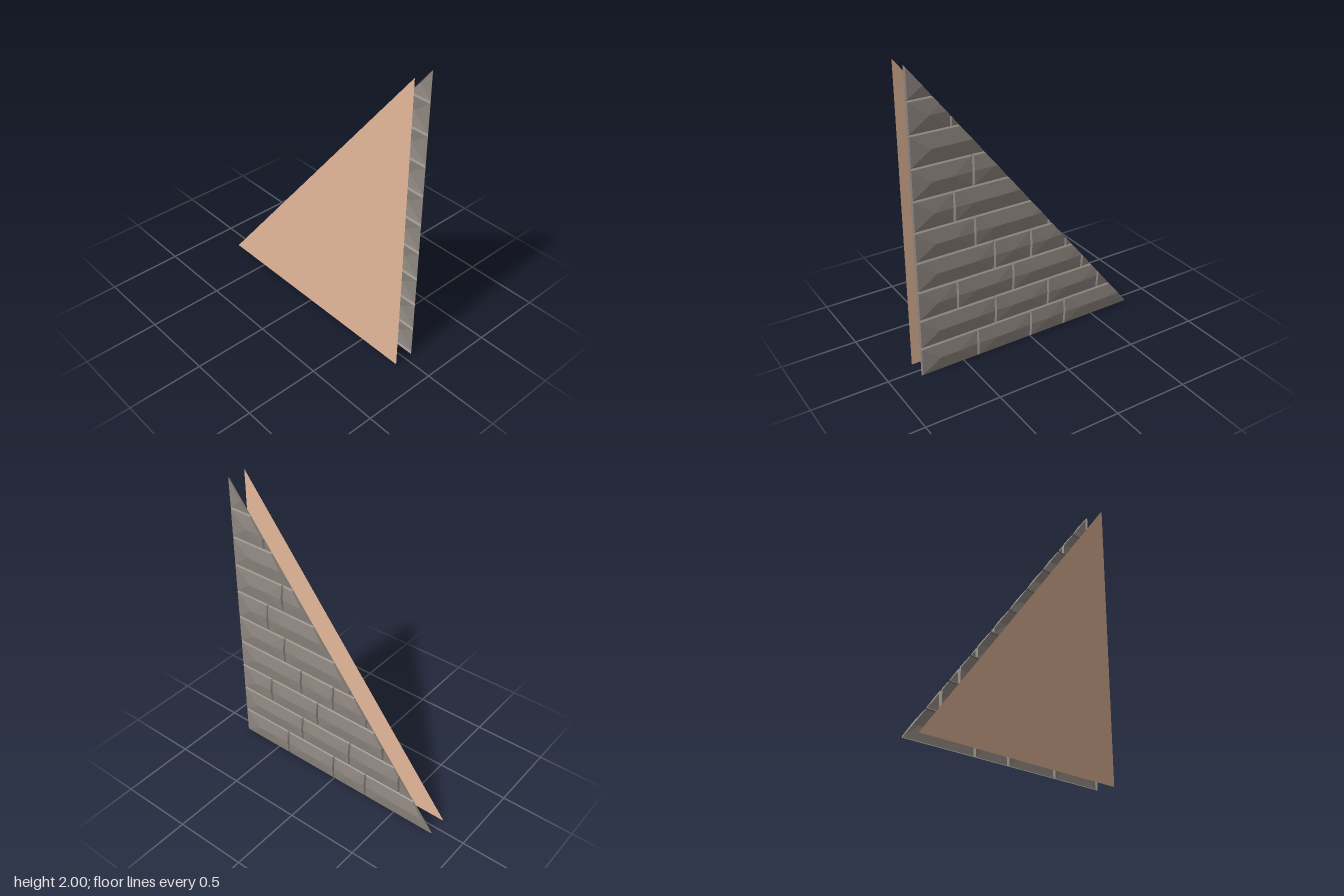
import * as THREE from 'three';

const CELL = 2 / 15;   // brick length unit along x
const ROW = 0.2;       // height of one course
const BACK = -0.055;   // plane the bricks stand on
const SLOPE = 1.2;     // cells lost per course

// joints of each course, in cells from the upright edge
const JOINTS = [[3, 6, 8], [4, 7, 10], [2, 5, 9], [4, 6, 8], [3, 7], [2], [3], [], [2], []];

const material = (name, color) =>
  new THREE.MeshStandardMaterial({ name, color, side: THREE.DoubleSide });

// keep the part of a polygon [u, v, h] under the slanted edge
function clip(poly, limit) {
  const out = [];
  const d = p => limit - p[0] - SLOPE * p[1];
  poly.forEach((p, i) => {
    const q = poly[(i + 1) % poly.length];
    const a = d(p), b = d(q);
    if (a >= -1e-9) out.push(p);
    if ((a > 1e-9 && b < -1e-9) || (a < -1e-9 && b > 1e-9)) {
      const t = a / (a - b);
      out.push(p.map((c, k) => c + (q[k] - c) * t));
    }
  });
  return out;
}

// bevelled, bulging brick from cell a to cell b, cut by the slanted edge
function addBrick(list, row, a, b) {
  const limit = 12 - SLOPE * row;
  const us = [a, a + 0.06];
  for (let u = a + 1; u < b; u++) us.push(u);
  us.push(b - 0.06, b);
  const vs = [0, 0.04, 0.5, 0.96, 1];
  const n = us.length - 1;
  const height = (i, j) => {
    if (i === 0 || i === n || j === 0 || j === 4) return 0;
    if (j !== 2 || (i === 1 && a === 0)) return 0.011;
    return i === 1 || i === n - 1 ? 0.019 : 0.024;
  };
  const point = (i, j) => [us[i], vs[j], height(i, j)];
  const fan = poly => {
    for (let k = 1; k < poly.length - 1; k++) {
      for (const p of [poly[0], poly[k], poly[k + 1]]) {
        list.push(0.8 - p[0] * CELL, (row + p[1]) * ROW, BACK - p[2]);
      }
    }
  };
  const onCut = p => Math.abs(limit - p[0] - SLOPE * p[1]) < 1e-6;
  for (let i = 0; i < n; i++) {
    for (let j = 0; j < 4; j++) {
      const [p, q, r, s] = [point(i, j), point(i + 1, j), point(i + 1, j + 1), point(i, j + 1)];
      const tris = (i < n / 2) === (j < 2) ? [[p, q, r], [p, r, s]] : [[p, q, s], [q, r, s]];
      for (const tri of tris) {
        const poly = clip(tri, limit);
        if (poly.length < 3) continue;
        fan(poly);
        // wall along the slanted cut
        poly.forEach((e, k) => {
          const f = poly[(k + 1) % poly.length];
          if (onCut(e) && onCut(f)) fan([e, [e[0], e[1], 0], [f[0], f[1], 0], f]);
        });
      }
    }
  }
}

export function createModel() {
  const group = new THREE.Group();
  group.name = 'gableWall';
  const plaster = material('plaster', 0xe5b99b);
  const stone = material('stone', 0x8f8780);

  // smooth inner panel
  const shape = new THREE.Shape([
    new THREE.Vector2(-0.8, 0), new THREE.Vector2(0.8, 0), new THREE.Vector2(0.8, 2),
  ]);
  const panel = new THREE.Mesh(new THREE.ShapeGeometry(shape), plaster);
  panel.name = 'innerPanel';
  panel.position.z = 0.079;
  group.add(panel);

  // courses of outer bricks
  JOINTS.forEach((joints, row) => {
    const positions = [];
    const ends = [0, ...joints, Math.ceil(12 - SLOPE * row - 1e-6)];
    for (let k = 0; k < ends.length - 1; k++) addBrick(positions, row, ends[k], ends[k + 1]);
    const geo = new THREE.BufferGeometry();
    geo.setAttribute('position', new THREE.Float32BufferAttribute(positions, 3));
    geo.computeVertexNormals();
    const course = new THREE.Mesh(geo, stone);
    course.name = 'brickCourse' + (row + 1);
    group.add(course);
  });
  return group;
}
